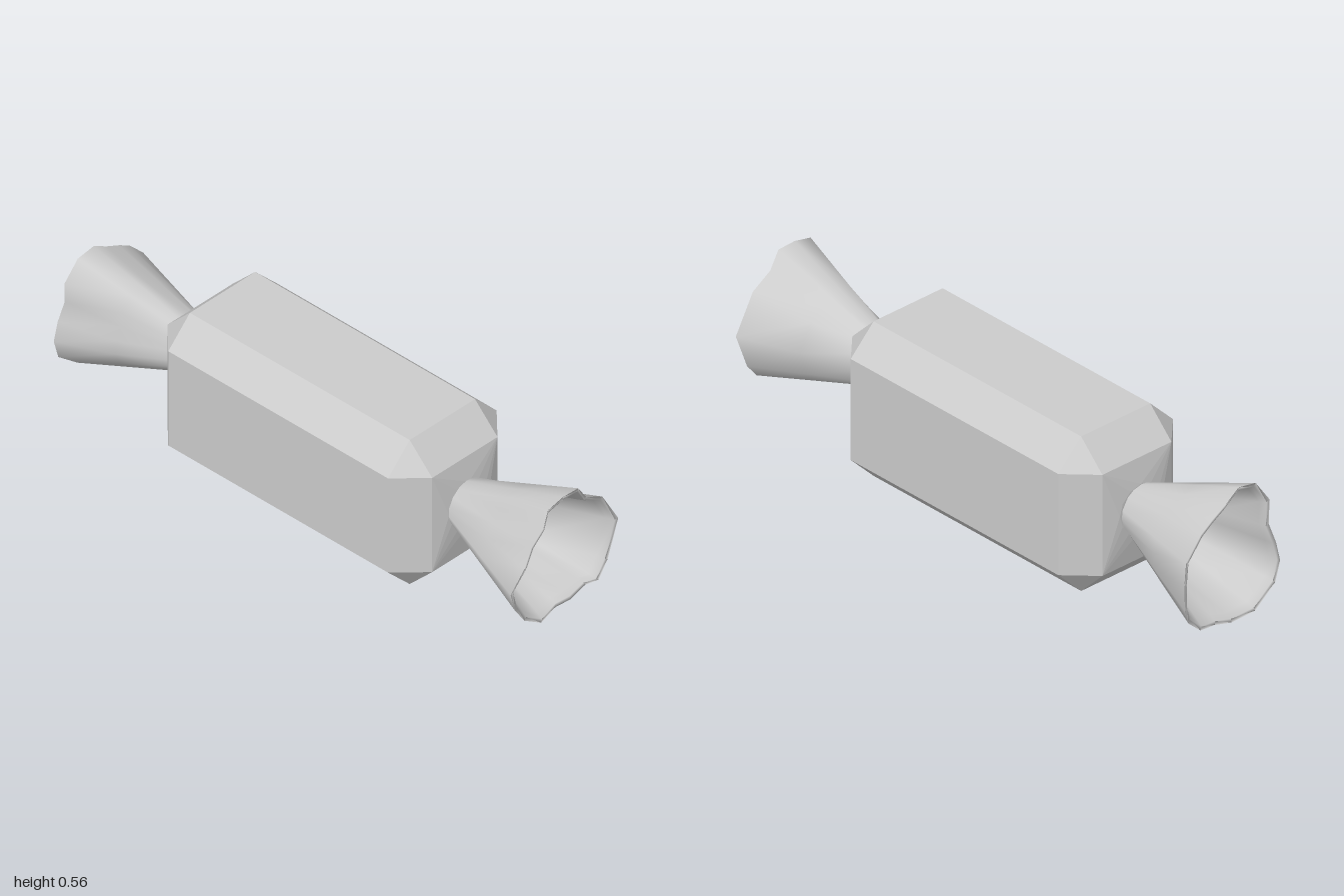
import * as THREE from 'three';
import { ConvexGeometry } from 'three/addons/geometries/ConvexGeometry.js';

const material = () => new THREE.MeshStandardMaterial({ color: 0xcccccc });

// Chamfered block whose ends bulge slightly towards the twisted necks
function makeBody() {
  const h = [0.241, 0.2775, 0.565], bevel = 0.096;
  const points = [];
  for (const sx of [-1, 1]) for (const sy of [-1, 1]) for (const sz of [-1, 1]) {
    for (let full = 0; full < 3; full++) {
      const p = h.map((v, i) => (i === full ? v : v - bevel));
      points.push(new THREE.Vector3(sx * p[0], sy * p[1], sz * p[2]));
    }
  }
  for (const sz of [-1, 1]) for (let i = 0; i < 12; i++) {
    const a = (i / 12) * Math.PI * 2;
    points.push(new THREE.Vector3(0.088 * Math.cos(a), 0.015 + 0.083 * Math.sin(a), sz * 0.583));
  }
  const body = new THREE.Mesh(new ConvexGeometry(points), material());
  body.name = 'body';
  body.position.set(-0.003, 0.2775, 0);
  return body;
}

// Flared wrapper end: rim is a clockwise outline of [x, y], zAt gives its depth
function makeFlare(name, rim, zAt, cx, cy) {
  const n = rim.length;
  const neck = (r, z) => rim.map(([x, y]) => {
    const a = Math.atan2(y - cy, x - cx);
    return [cx + r * Math.cos(a), cy + r * Math.sin(a), z];
  });
  // Ring at fraction t from neck to rim, inset for the inner wall
  const ring = (t, inset) => rim.map(([x, y], i) => {
    const a = Math.atan2(y - cy, x - cx);
    const r = 0.085 + (Math.hypot(x - cx, y - cy) - 0.085) * t - inset;
    return [cx + r * Math.cos(a), cy + r * Math.sin(a), 0.583 + (zAt(y, i) - 0.583) * t];
  });
  const rings = [
    neck(0.085, 0.57), ring(0, 0), ring(0.5, 0), ring(1, 0),
    ring(0.995, 0.012), ring(0.93, 0.013), ring(0.5, 0.013), neck(0.07, 0.6),
  ];
  const positions = rings.flat(2);
  positions.push(cx, cy, 0.59);
  const index = [];
  for (let k = 0; k < rings.length; k++) for (let i = 0; i < n; i++) {
    const j = (i + 1) % n;
    const a = k * n + i, b = k * n + j;
    if (k === rings.length - 1) index.push(a, rings.length * n, b);
    else index.push(a, a + n, b + n, a, b + n, b);
  }
  const geometry = new THREE.BufferGeometry();
  geometry.setAttribute('position', new THREE.Float32BufferAttribute(positions, 3));
  geometry.setIndex(index);
  geometry.computeVertexNormals();
  const mesh = new THREE.Mesh(geometry, material());
  mesh.name = name;
  return mesh;
}

const FRONT_RIM = [
  [-0.087, 0.528], [-0.02, 0.543], [0.048, 0.54], [0.087, 0.483], [0.164, 0.44], [0.241, 0.313],
  [0.19, 0.184], [0.145, 0.131], [0.087, 0.143], [0.02, 0.125], [-0.047, 0.13], [-0.113, 0.107],
  [-0.182, 0.15], [-0.22, 0.207], [-0.237, 0.275], [-0.175, 0.343], [-0.148, 0.41], [-0.1, 0.46],
];
const BACK_RIM = [
  [0, 0.47], [0.06, 0.507], [0.13, 0.495], [0.18, 0.42], [0.168, 0.34], [0.19, 0.27],
  [0.205, 0.2], [0.185, 0.13], [0.1, 0.062], [0, 0.06], [-0.07, 0.08], [-0.13, 0.085],
  [-0.18, 0.13], [-0.195, 0.18], [-0.195, 0.27], [-0.18, 0.34], [-0.11, 0.41], [-0.06, 0.44],
];

export function createModel() {
  const model = new THREE.Group();
  model.name = 'wrappedCandy';
  model.add(makeBody());

  // Front rim curves back at mid height
  const front = makeFlare('frontWrapperEnd', FRONT_RIM,
    (y) => Math.min(1, 0.985 + 0.3 * (y - 0.3) ** 2 + (y > 0.5 ? 0.01 : 0)), -0.008, 0.298);

  // Back rim leans out towards the bottom
  const back = makeFlare('backWrapperEnd', BACK_RIM,
    (y) => THREE.MathUtils.mapLinear(Math.max(y, 0.25), 0.25, 0.507, 0.995, 0.963), 0.008, 0.288);
  back.rotation.y = Math.PI;

  model.add(front, back);
  return model;
}
